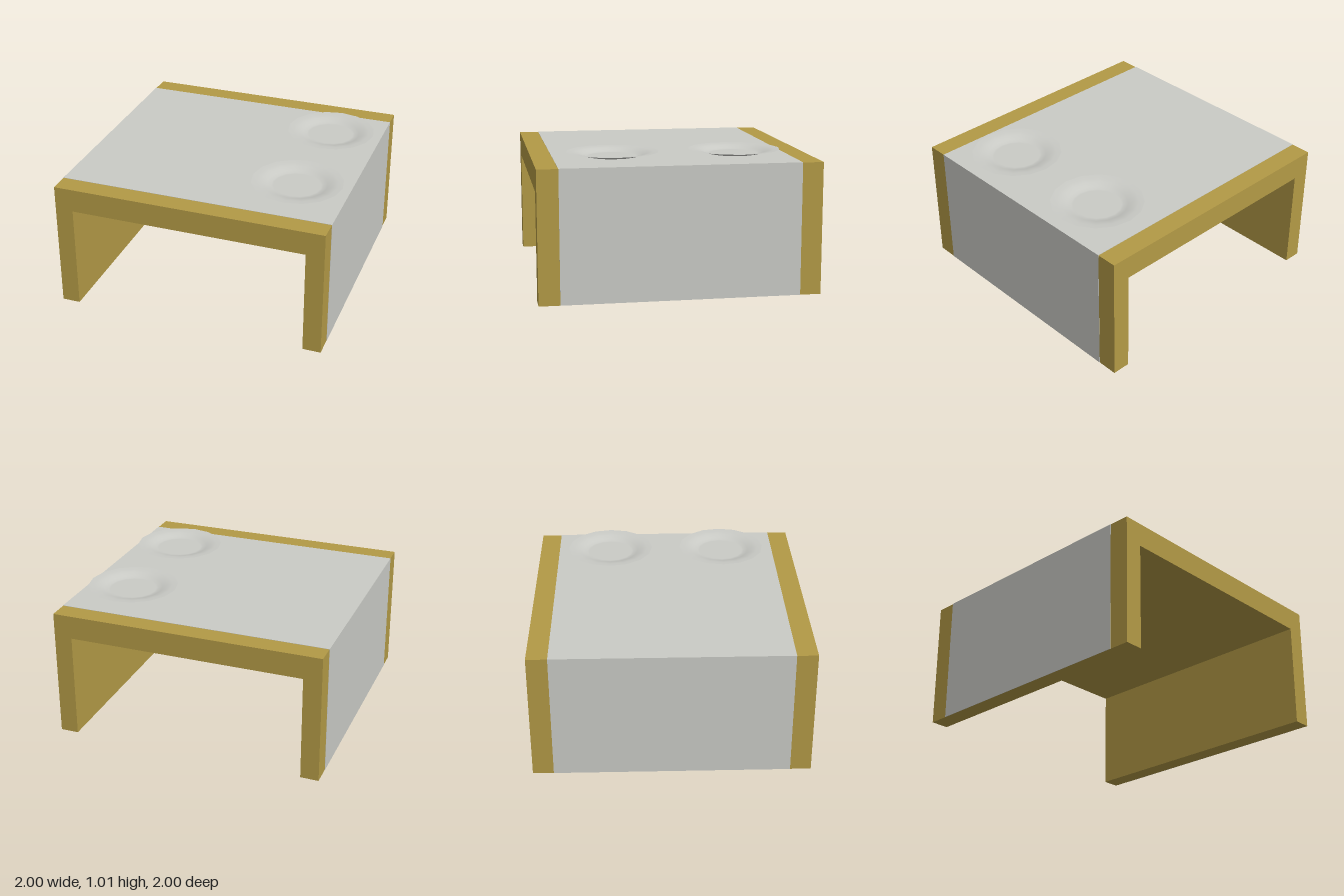
import * as THREE from 'three';

const wood = new THREE.MeshStandardMaterial({ color: 0xb39a46 });
wood.name = 'ochre wood';
const cloth = new THREE.MeshStandardMaterial({ color: 0xcacbc6 });
cloth.name = 'pale grey cloth';
const china = new THREE.MeshStandardMaterial({ color: 0xcacbc6, side: THREE.DoubleSide });
china.name = 'pale grey china';

const HEIGHT = 0.95, SKIN = 0.002;

// Upside-down U section, extruded along z and centred
function bridge(name, material, outer, inner, top, under, depth) {
  const s = new THREE.Shape();
  s.moveTo(-outer, 0);
  s.lineTo(-inner, 0);
  s.lineTo(-inner, under);
  s.lineTo(inner, under);
  s.lineTo(inner, 0);
  s.lineTo(outer, 0);
  s.lineTo(outer, top);
  s.lineTo(-outer, top);
  s.closePath();
  const g = new THREE.ExtrudeGeometry(s, { depth, bevelEnabled: false });
  g.translate(0, 0, -depth / 2);
  const m = new THREE.Mesh(g, material);
  m.name = name;
  return m;
}

export function createModel() {
  const model = new THREE.Group();
  model.name = 'table';

  // Table body: slab top with two full-depth side panels
  const w = 1 - SKIN, h = HEIGHT - SKIN;
  model.add(bridge('tableFrame', wood, w, 0.865, h, 0.775, 2));

  // Cloth runner lying over the top and down both sides
  model.add(bridge('tablecloth', cloth, 1, w, HEIGHT, h, 1.7));

  // Two shallow plates, one 16-sided shell each, profile from rim to centre
  const profile = [
    [0.33, 1.007], [0.29, 1.004], [0.25, 0.998], [0.215, 0.984], [0.185, 0.976], [0.17, 0.975], [0, 0.975],
  ].map(([r, y]) => new THREE.Vector2(r, y));
  const plateGeometry = new THREE.LatheGeometry(profile, 16);
  for (const [name, z] of [['frontPlate', 0.437], ['backPlate', -0.441]]) {
    const plate = new THREE.Mesh(plateGeometry, china);
    plate.name = name;
    plate.position.set(0.63, 0, z);
    model.add(plate);
  }
  return model;
}
